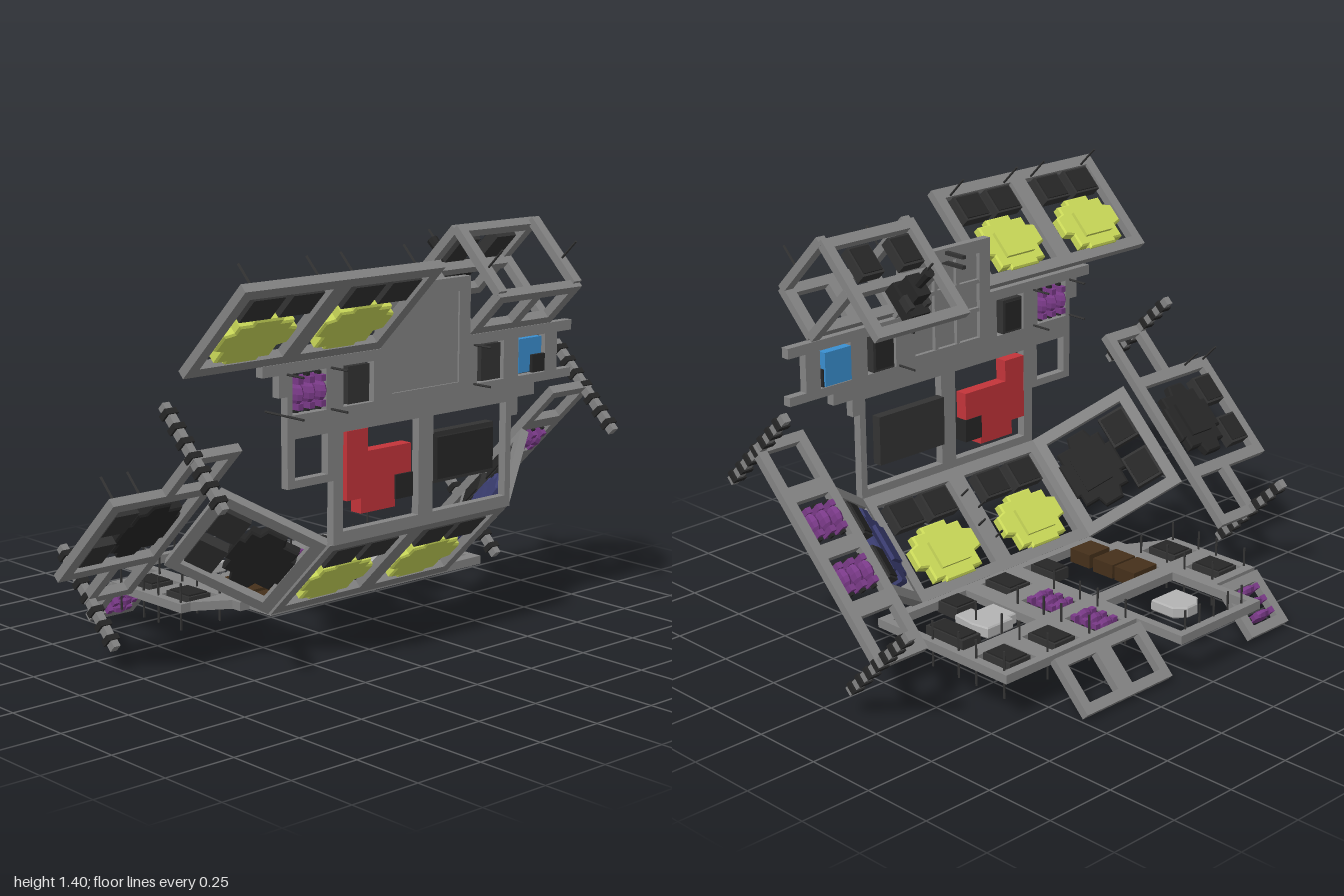
import * as THREE from 'three';

const mat = c => new THREE.MeshStandardMaterial({ color: c, flatShading: true });
const M = {
  frame: mat(0x848484), dark: mat(0x333333), black: mat(0x262626), lime: mat(0xcddc5a), red: mat(0xc4343a),
  blue: mat(0x3a8fd0), navy: mat(0x3a3d70), purple: mat(0x7a3a88), brown: mat(0x45301a), pale: mat(0xb4b4b4),
};
const T = 0.03; // frame thickness

export function createModel() {
  const model = new THREE.Group();
  model.name = 'controlStation';

  // A local plane: u across, v along, normal = u x v
  function plane(name, origin, u, v) {
    const g = new THREE.Group();
    g.name = name;
    const U = new THREE.Vector3(...u).normalize(), V = new THREE.Vector3(...v).normalize();
    const N = new THREE.Vector3().crossVectors(U, V);
    g.quaternion.setFromRotationMatrix(new THREE.Matrix4().makeBasis(U, V, N));
    g.position.set(...origin);
    model.add(g);
    return g;
  }
  function add(g, name, geo, m, x = 0, y = 0, z = 0) {
    const mesh = new THREE.Mesh(geo, m);
    mesh.name = name;
    mesh.position.set(x, y, z);
    g.add(mesh);
    return mesh;
  }
  const box = (g, name, m, x, y, z, w, h, d) => add(g, name, new THREE.BoxGeometry(w, h, d), m, x, y, z);
  const poly = pts => new THREE.Shape(pts.map(p => new THREE.Vector2(...p)));

  // Flat frame from an outline and rectangular openings [u0, v0, u1, v1]
  const rect = ([a, b, c, d]) => [[a, b], [c, b], [c, d], [a, d]];
  function frame(g, outline, holes, m = M.frame) {
    const s = poly(outline);
    holes.forEach(h => s.holes.push(poly(rect(h).reverse())));
    const geo = new THREE.ExtrudeGeometry(s, { depth: T, bevelEnabled: false });
    geo.translate(0, 0, -T / 2);
    add(g, 'frame', geo, m);
  }
  const screen = (g, x, y, w = 0.09, h = 0.12) => {
    box(g, 'screen', M.dark, x, y, -0.005, w, h, 0.04);
    box(g, 'screenBezel', M.black, x, y, -0.02, w * 0.85, h * 0.85, 0.02);
  };
  // Instrument unit with stepped outline and a raised centre
  function device(g, x, y, m, angle = 0) {
    const half = [[0.06, -0.1], [0.06, -0.085], [0.1, -0.085], [0.1, -0.035], [0.135, -0.025],
      [0.135, 0.035], [0.1, 0.045], [0.1, 0.075], [0.05, 0.075], [0.05, 0.095]];
    const pts = [...half, ...half.map(([a, b]) => [-a, b]).reverse()];
    const geo = new THREE.ExtrudeGeometry(poly(pts), { depth: 0.025, bevelSize: 0.006, bevelThickness: 0.006, bevelSegments: 1 });
    const unit = new THREE.Group();
    unit.name = 'instrumentUnit';
    unit.position.set(x, y, 0);
    unit.rotation.z = angle;
    g.add(unit);
    add(unit, 'unitBody', geo, m, 0, 0, -0.02);
    box(unit, 'unitCore', m, 0, -0.01, -0.026, 0.13, 0.1, 0.025);
  }
  // Rows of short double-ended toggles
  function toggles(g, x, y, along, n = 3, gap = 0.047) {
    for (let i = 0; i < n; i++) {
      const o = (i - (n - 1) / 2) * gap;
      const t = new THREE.Group();
      t.name = 'toggle';
      t.position.set(along ? x : x + o, along ? y + o : y, 0);
      if (along) t.rotation.z = Math.PI / 2;
      g.add(t);
      box(t, 'toggleBar', M.black, 0, 0, 0, 0.012, 0.12, 0.02);
      const c = add(t, 'toggleGrip', new THREE.SphereGeometry(0.02, 8, 6), M.purple);
      c.scale.set(0.9, 1.9, 1.9);
      for (const s of [-1, 1]) box(t, 'togglePeg', M.purple, 0, s * 0.04, 0, 0.02, 0.02, 0.055);
    }
  }
  const pin = (g, x, y, z0, z1) => {
    const geo = new THREE.CylinderGeometry(0.004, 0.004, Math.abs(z1 - z0), 5).rotateX(Math.PI / 2);
    add(g, 'pin', geo, M.dark, x, y, (z0 + z1) / 2);
  };
  // Studded arm standing across a panel
  function spar(g, x, y) {
    box(g, 'spar', M.frame, x, y, 0, 0.026, T, 0.4);
    for (let i = -3; i <= 3; i++) box(g, 'sparStud', M.black, x, y, i * 0.055, 0.044, 0.04, 0.02);
  }

  // Upright front panel
  const front = plane('frontPanel', [0, 0, 0.4], [1, 0, 0], [0, 1, 0]);
  frame(front,
    [[-0.31, 0.45], [0.49, 0.45], [0.49, 0.76], [0.52, 0.76], [0.52, 0.82], [0.6, 0.82], [0.6, 0.86], [0.78, 0.86], [0.78, 0.89],
      [0.71, 0.89], [0.71, 1.02], [0.78, 1.02], [0.78, 1.055], [0.29, 1.055], [0.29, 1.25], [-0.11, 1.25], [-0.11, 1.055], [-0.6, 1.055],
      [-0.6, 1.02], [-0.535, 1.02], [-0.535, 0.95], [-0.5, 0.95], [-0.5, 0.66], [-0.31, 0.66]],
    [[-0.27, 0.49, 0.06, 0.81], [0.125, 0.49, 0.465, 0.81], [-0.47, 0.685, -0.335, 0.815], [-0.48, 0.89, -0.34, 1.02],
      [-0.27, 0.89, -0.14, 1.02], [-0.06, 0.905, 0.24, 1.205], [0.325, 0.89, 0.45, 1.02], [0.52, 0.89, 0.65, 1.02]]);
  add(front, 'redUnit', new THREE.ExtrudeGeometry(poly([[-0.24, 0.58], [-0.18, 0.58], [-0.18, 0.53], [-0.03, 0.53], [-0.03, 0.56],
    [0.04, 0.56], [0.04, 0.73], [-0.15, 0.73], [-0.15, 0.805], [-0.24, 0.805]]), { depth: 0.045, bevelEnabled: false }), M.red, 0, 0, -0.045);
  box(front, 'redUnitKnob', M.black, 0.005, 0.595, -0.02, 0.075, 0.08, 0.055);
  box(front, 'displayBlock', M.dark, 0.288, 0.66, -0.03, 0.29, 0.17, 0.035);
  box(front, 'displayBlockRim', M.black, 0.288, 0.66, -0.02, 0.26, 0.14, 0.045);
  toggles(front, -0.41, 0.955, false);
  screen(front, -0.205, 0.955);
  screen(front, 0.388, 0.955);
  box(front, 'blueUnit', M.blue, 0.585, 0.955, -0.01, 0.11, 0.115, 0.035);
  box(front, 'blueUnitKnob', M.black, 0.615, 0.925, 0, 0.06, 0.06, 0.04);
  for (const x of [-0.5, -0.32, 0.31]) for (const y of [0.89, 1.02]) pin(front, x, y, -0.09, 0.09);
  // Backing sheet and its ribbed rear
  box(front, 'sheet', M.frame, 0.09, 1.055, 0.004, 0.3, 0.3, 0.008);
  for (const o of [-0.05, 0.05]) {
    box(front, 'sheetRib', M.frame, 0.09 + o, 1.055, -0.006, 0.014, 0.3, 0.015);
    box(front, 'sheetRib', M.frame, 0.09, 1.055 + o, -0.006, 0.3, 0.014, 0.015);
  }
  for (const y of [1.235, 1.2]) box(front, 'sheetBracket', M.dark, 0.09, y, -0.05, 0.015, 0.012, 0.1);

  // Two-bay panels: lower slope and forward-leaning upper left
  function twoBay(name, origin, x0, w, back) {
    const g = plane(name, origin, [1, 0, 0], [0, 1, 1]);
    const c = w / 2, L = 0.405;
    frame(g, rect([x0, 0, x0 + w, L]), [[x0 + 0.04, 0.04, x0 + c - 0.035, L - 0.04], [x0 + c + 0.035, 0.04, x0 + w - 0.04, L - 0.04]]);
    for (const bay of [x0 + c / 2, x0 + c * 1.5]) {
      device(g, bay, 0.14, M.lime);
      for (const s of [-1, 1]) screen(g, bay + s * 0.075, 0.305, 0.12, 0.1);
      if (back) for (const s of [-1, 1]) pin(g, bay + s * 0.13, 0.37, 0, -0.11);
    }
    return g;
  }
  const slope = twoBay('lowerSlopePanel', [0, 0.17, 0.1], -0.31, 0.81, false);
  for (let i = 0; i < 4; i++) pin(slope, 0.075 + (i % 2) * 0.04, 0.12 + i * 0.06, 0, -0.06);
  twoBay('upperLeaningPanel', [0, 1.065, 0.4], -0.9, 0.79, true);

  // Angled wings either side of the slope
  for (const s of [1, -1]) {
    const inner = s > 0 ? 0.5 : -0.31;
    const g = plane('wingPanel', [inner, 0.17, 0.1], [0.285, s * 0.18, -s * 0.18], [0, 1, 1]);
    const r = (a, b) => s > 0 ? [a, 0.04, b, 0.365] : [-b, 0.04, -a, 0.365];
    const e = s > 0 ? [0, 0, 0.383, 0.405] : [-0.383, 0, 0, 0.405];
    frame(g, rect(e), [r(0.04, 0.343)]);
    device(g, s * 0.14, 0.2025, s > 0 ? M.navy : M.black, -s * Math.PI / 2);
    for (const v of [0.12, 0.285]) screen(g, s * 0.29, v, 0.1, 0.12);
  }

  // Outer panels with studded arms
  const right = plane('outerSwitchPanel', [0, 0.51, 0.035], [1, 0, 0], [0, 1, 1]);
  frame(right, rect([0.79, -0.405, 0.99, 0.405]),
    [[-0.37, -0.235], [-0.18, -0.025], [0.025, 0.18], [0.235, 0.37]].map(([a, b]) => [0.825, a, 0.955, b]));
  for (const v of [-0.1, 0.1]) toggles(right, 0.89, v, false);
  const left = plane('outerInstrumentPanel', [0, 0.51, 0.035], [1, 0, 0], [0, 1, 1]);
  frame(left, [[-1, -0.21], [-0.8, -0.21], [-0.8, -0.405], [-0.61, -0.405], [-0.61, 0.405], [-0.8, 0.405], [-0.8, 0.21], [-1, 0.21]],
    [[-0.96, -0.17, -0.645, 0.17], [-0.765, -0.37, -0.645, -0.21], [-0.765, 0.21, -0.645, 0.37]]);
  device(left, -0.765, 0, M.black, Math.PI / 2);
  for (const v of [-0.085, 0.085]) screen(left, -0.91, v, 0.09, 0.11);
  for (const v of [-0.39, 0.39]) { spar(right, 0.97, v); spar(left, -0.785, v); }
  for (const x of [-0.98, -0.88]) pin(left, x, 0.2, 0, -0.1);

  // Level base panel
  const base = plane('basePanel', [0, 0.165, 0], [1, 0, 0], [0, 0, 1]);
  frame(base,
    [[-0.5, -0.5], [-0.3, -0.5], [-0.3, -0.69], [0.09, -0.69], [0.09, -0.495], [0.68, -0.495], [0.68, 0.1], [-0.3, 0.1],
      [-0.3, -0.01], [-0.34, -0.01], [-0.34, -0.05], [-0.46, -0.12], [-0.5, -0.12]],
    [[-0.27, -0.66, 0.06, -0.33], [-0.27, -0.27, 0.06, 0.06], [-0.47, -0.465, -0.335, -0.33], [-0.47, -0.265, -0.335, -0.13],
      [0.13, -0.465, 0.255, -0.33], [0.13, -0.265, 0.255, -0.13], [0.13, -0.06, 0.255, 0.06],
      [0.325, -0.465, 0.45, -0.33], [0.52, -0.465, 0.65, -0.33], [0.325, -0.27, 0.65, 0.06]]);
  [[-0.405, -0.4], [-0.405, -0.2], [0.19, 0], [0.387, -0.4], [0.585, -0.4]].forEach(p => screen(base, ...p));
  screen(base, 0, -0.01, 0.075, 0.105);
  screen(base, 0.58, -0.15, 0.08, 0.17);
  screen(base, 0.42, 0.0, 0.09, 0.09);
  for (const v of [-0.4, -0.2]) toggles(base, 0.19, v, true);
  for (const v of [-0.215, -0.115, 0]) box(base, 'brownUnit', M.brown, -0.21, v, 0, v ? 0.115 : 0.1, 0.09, 0.05);
  add(base, 'paleUnit', new THREE.ExtrudeGeometry(poly([[-0.165, -0.44], [-0.05, -0.44], [-0.05, -0.53], [-0.085, -0.56], [-0.13, -0.56], [-0.165, -0.53]]),
    { depth: 0.03, bevelSize: 0.004, bevelThickness: 0.005, bevelSegments: 1 }), M.pale, 0, 0, -0.015);
  add(base, 'paleUnit', new THREE.ExtrudeGeometry(poly([[0.345, -0.19], [0.38, -0.19], [0.38, -0.21], [0.485, -0.21], [0.495, -0.15],
    [0.485, -0.065], [0.42, -0.065], [0.42, -0.09], [0.345, -0.09]]),
  { depth: 0.03, bevelSize: 0.004, bevelThickness: 0.005, bevelSegments: 1 }), M.pale, 0, 0, -0.015);
  for (const x of [-0.485, -0.32, 0.11, 0.28, 0.47, 0.66])
    for (const v of [-0.465, -0.34, -0.26, -0.14]) pin(base, x, v, -0.08, 0.08);
  for (const x of [-0.24, -0.17, -0.1, -0.03, 0.04]) pin(base, x, -0.66, 0, -0.08);

  // Tilted trays behind the base
  const tray = plane('rearTray', [0, 0.165, -0.5], [1, 0, 0], [0, -1, -1]);
  frame(tray, rect([-0.5, 0, -0.31, 0.205]), [[-0.465, 0.035, -0.345, 0.17]]);
  toggles(tray, -0.405, 0.1, true);
  frame(tray, rect([0.09, 0, 0.485, 0.205]), [[0.125, 0.035, 0.255, 0.17], [0.32, 0.035, 0.45, 0.17]]);

  // Box frame at the upper right: three panels, side bars and a grip
  const S = Math.SQRT1_2;
  const rackFront = plane('rackFront', [0, 1.065, 0.4], [1, 0, 0], [0, 1, 1]);
  frame(rackFront, rect([0.29, 0, 0.68, 0.195]), [[0.33, 0.035, 0.465, 0.16], [0.505, 0.035, 0.64, 0.16]]);
  const rackTop = plane('rackTop', [0, 1.2, 0.535], [1, 0, 0], [0, 1, -1]);
  for (const x of [0.307, 0.663]) box(rackTop, 'sideBar', M.frame, x, 0.14, 0, 0.035, 0.28, T);
  const rackBack = plane('rackBack', [0, 1.13, 0.07], [1, 0, 0], [0, S, S]);
  frame(rackBack, rect([0.29, 0, 0.68, 0.375]), [[0.325, 0.035, 0.645, 0.34]]);
  for (const x of [0.4, 0.57]) screen(rackBack, x, 0.265, 0.09, 0.11);
  const rackBase = plane('rackBase', [0, 1.065, 0.4], [1, 0, 0], [0, 1, -1]);
  for (const x of [0.307, 0.663]) box(rackBase, 'sideBar', M.frame, x, 0.135, 0, 0.035, 0.27, T);
  box(rackBase, 'crossBar', M.frame, 0.485, 0.255, 0, 0.39, 0.035, T);
  for (const x of [0.31, 0.66]) pin(rackTop, x, 0.1, 0, 0.1);
  box(rackBack, 'gripMount', M.black, 0.485, 0.1, 0, 0.08, 0.13, 0.05);
  box(rackBack, 'gripBody', M.black, 0.485, 0.11, -0.05, 0.055, 0.08, 0.07);
  add(rackBack, 'gripStick', new THREE.CylinderGeometry(0.014, 0.02, 0.09, 8).rotateX(Math.PI / 2), M.black, 0.485, 0.11, -0.11);
  pin(rackBack, 0.485, 0.12, -0.1, -0.19);
  for (const s of [-1, 1]) box(rackBack, 'gripLever', M.dark, 0.485 + s * 0.035, 0.08, -0.03, 0.02, 0.05, 0.03);

  return model;
}
